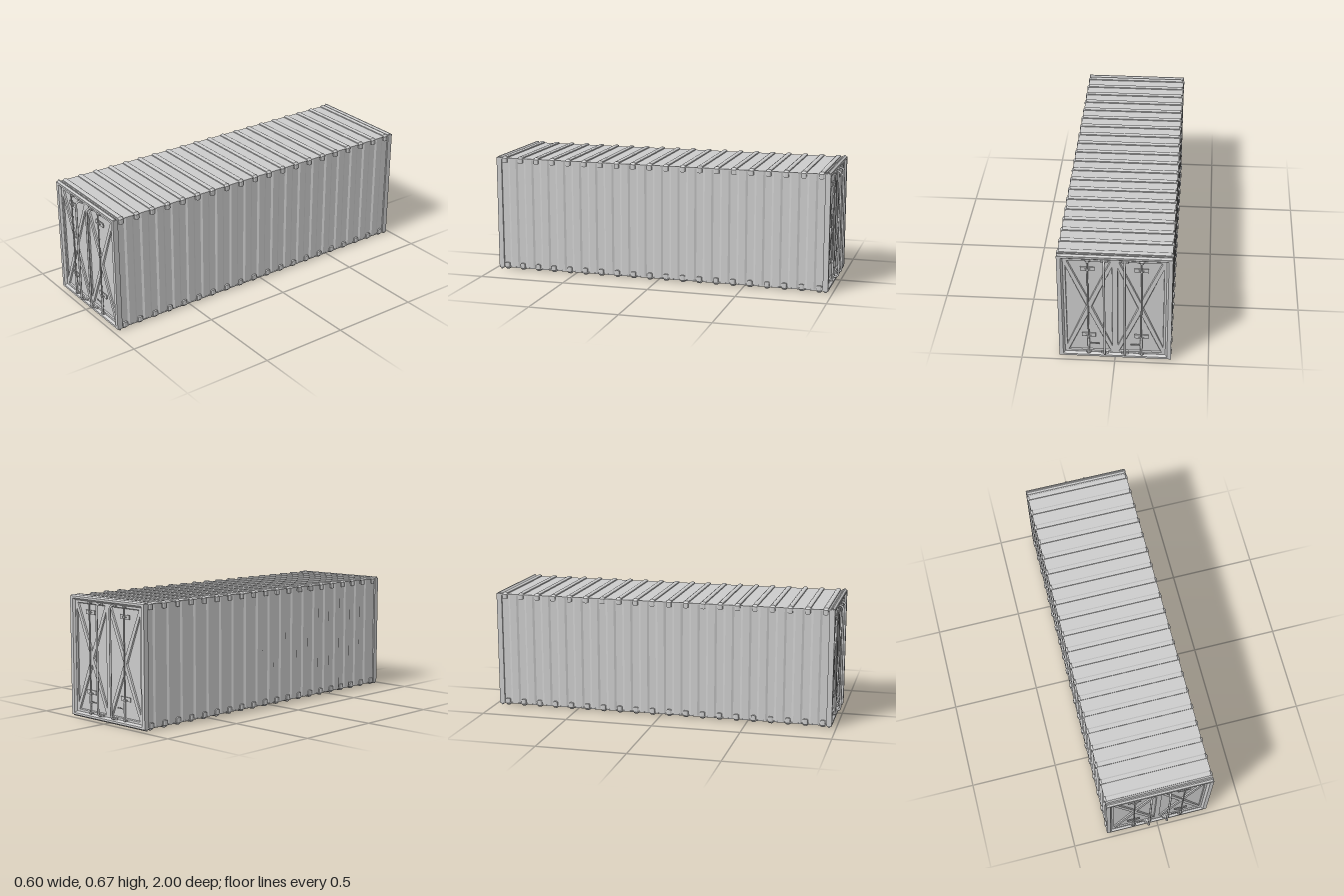
import * as THREE from 'three';

const mat = new THREE.MeshStandardMaterial({ color: 0xcccccc, flatShading: true });
const smooth = new THREE.MeshStandardMaterial({ color: 0xcccccc });
const MID = 0.3365; // mid height of the container

function add(parent, name, geo, x = 0, y = 0, z = 0, m = mat) {
  const mesh = new THREE.Mesh(geo, m);
  mesh.name = name;
  mesh.position.set(x, y, z);
  parent.add(mesh);
  return mesh;
}
const box = (w, h, d) => new THREE.BoxGeometry(w, h, d);
const rod = (r, h) => new THREE.CylinderGeometry(r, r, h, 12);
const poly = (pts) => new THREE.Shape(pts.map(([x, y]) => new THREE.Vector2(x, y)));
const rect = (hw, hh) => poly([[-hw, MID - hh], [hw, MID - hh], [hw, MID + hh], [-hw, MID + hh]]);

// Extrude between z0 and z1; the bevel widens the solid away from its end faces
function slab(shape, z0, z1, size = 0, thick = 0) {
  const geo = new THREE.ExtrudeGeometry(shape, {
    depth: z1 - z0 - 2 * thick, bevelEnabled: size > 0,
    bevelSize: size, bevelThickness: thick, bevelSegments: 1,
  });
  return geo.translate(0, 0, z0 + thick);
}
function ring(hw, hh, holeW, holeH) {
  const s = rect(hw, hh);
  s.holes.push(rect(holeW, holeH));
  return s;
}

// Corrugated walls: trapezoid waves along the length
function buildBody(group, pitch, count) {
  const side = [];
  for (let i = 0; i < count; i++) {
    const z = -0.925 + i * pitch;
    side.push([0.290, z - 0.019], [0.290, z + 0.019]);
    if (i < count - 1) side.push([0.296, z + 0.030], [0.296, z + pitch - 0.030]);
  }
  side.unshift([0.296, -0.955]);
  side.push([0.296, 0.955]);
  const other = side.map(([x, z]) => [-x, z]).reverse();
  const walls = slab(poly([...side, ...other]), 0.012, 0.660);
  walls.rotateX(-Math.PI / 2);
  add(group, 'corrugatedWalls', walls);
  add(group, 'roofSheet', box(0.594, 0.006, 1.94), 0, 0.660, 0);
  add(group, 'floorSheet', box(0.594, 0.006, 1.94), 0, 0.013, 0);
}

// Roof and floor ribs with ends folded over the long edges
function buildRibs(group, pitch, count) {
  const right = [[0.284, 0.637], [0.298, 0.637], [0.298, 0.660], [0.289, 0.669]];
  const left = right.map(([x, y]) => [-x, y]).reverse();
  const shape = poly([...right, ...left, [-0.284, 0.655], [0.284, 0.655]]);
  const geo = slab(shape, -0.014, 0.014, 0.004, 0.007);
  for (let i = 0; i < count; i++) {
    const z = -0.925 + i * pitch;
    add(group, 'roofRib', geo, 0, 0, z);
    add(group, 'floorRib', geo, 0, 2 * MID, z).rotation.z = Math.PI;
    group.children.at(-1).position.x = 0;
  }
}

// Four recessed triangles of a cross-braced door, centred at cx
function doorRecesses(cx) {
  const tri = (...p) => poly(p.map(([x, y]) => [cx + x, MID + y]));
  return [
    tri([-0.121, 0.262], [-0.121, -0.262], [-0.010, 0]),
    tri([0.121, -0.262], [0.121, 0.262], [0.010, 0]),
    tri([-0.114, 0.295], [0, 0.036], [0.114, 0.295]),
    tri([-0.114, -0.295], [0.114, -0.295], [0, -0.036]),
  ];
}

// Locking bar with sleeve, guides, plates and handle
function lockingBar(parent, s) {
  const g = new THREE.Group();
  g.name = s > 0 ? 'leftLockingBar' : 'rightLockingBar';
  const x = 0.14 * s, z = 0.972;
  add(g, 'bar', rod(0.004, 0.606), x, MID, z, smooth);
  add(g, 'sleeve', rod(0.0065, 0.058), x, 0.104, z, smooth);
  add(g, 'lowerSleeve', rod(0.0055, 0.10), x, 0.09, z, smooth);
  for (const y of [0.149, 0.585]) add(g, 'mountPlate', box(0.074, 0.023, 0.006), x, y, 0.963);
  for (const y of [0.035, 0.144, 0.585, 0.638]) {
    add(g, 'guide', box(0.014, 0.010, 0.016), x, y, 0.969);
    add(g, 'guideFlange', box(0.028, 0.005, 0.008), x, y, 0.967);
  }
  add(g, 'handleHub', box(0.014, 0.009, 0.007), x - 0.011 * s, 0.097, z);
  add(g, 'handle', box(0.040, 0.005, 0.005), x - 0.036 * s, 0.097, z);
  parent.add(g);
}

// Bowed bar standing off the door, with tabs at both ends
function bowedBar(parent, s) {
  const x = 0.055 * s - 0.001 * s;
  const path = new THREE.CurvePath();
  const pts = [[0.033, 0.962], [0.033, 0.974], [0.052, 0.993], [0.621, 0.993], [0.640, 0.974], [0.640, 0.962]]
    .map(([y, z]) => new THREE.Vector3(x, y, z));
  const curve = new THREE.CatmullRomCurve3(pts, false, 'catmullrom', 0.1);
  add(parent, 'bowedBar', new THREE.TubeGeometry(curve, 120, 0.006, 10), 0, 0, 0, smooth);
  for (const y of [0.034, 0.638]) add(parent, 'barTab', box(0.037, 0.011, 0.012), x, y, 0.965);
}

function buildEnd() {
  const end = new THREE.Group();
  // Outer frame with a sloped inner lip
  add(end, 'endFrame', slab(ring(0.299, 0.328, 0.288, 0.325), 0.945, 0.975));
  add(end, 'frameLip', slab(ring(0.289, 0.326, 0.278, 0.317), 0.945, 0.975, 0.010, 0.012));
  // Door skin with recesses and the sheet behind it
  const skin = rect(0.27, 0.31);
  skin.holes.push(...doorRecesses(-0.135), ...doorRecesses(0.135));
  add(end, 'doors', slab(skin, 0.944, 0.962, 0.006, 0.008));
  add(end, 'doorBacking', box(0.58, 0.64, 0.008), 0, MID, 0.949);
  for (const s of [-1, 1]) {
    lockingBar(end, s);
    bowedBar(end, s);
  }
  return end;
}

export function createModel() {
  const model = new THREE.Group();
  model.name = 'shippingContainer';
  const count = 20, pitch = 1.85 / (count - 1);
  buildBody(model, pitch, count);
  buildRibs(model, pitch, count);
  // Both ends carry the same pair of doors
  const front = buildEnd();
  front.name = 'frontDoors';
  const back = buildEnd();
  back.name = 'backDoors';
  back.rotation.y = Math.PI;
  model.add(front, back);
  return model;
}
